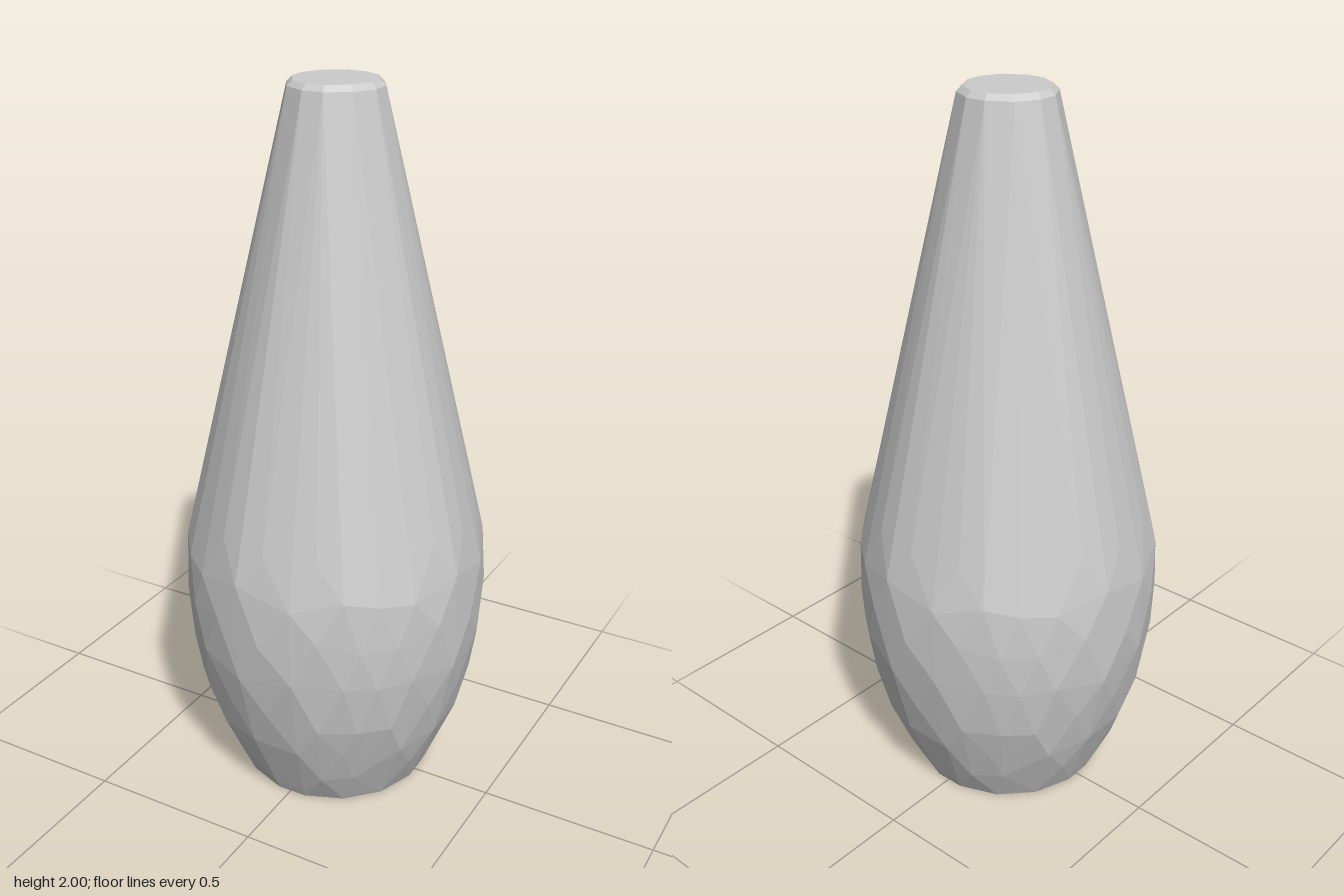
import * as THREE from 'three';
import { ConvexGeometry } from 'three/addons/geometries/ConvexGeometry.js';

// Angles (degrees) of the corners in one quarter turn; the quarter repeats four times.
const FINE = [10, 31, 45, 58, 77.6];
const STAGGERED = [0, 20, 38, 52, 68];
const BASE = [8, 32, 56, 80];
const NECK = [11, 42, 75];

// Rings from bottom to top: height, radius, corner angles, height jitter.
const RINGS = [
  [0, 0.272, BASE, 0],
  [0.02, 0.284, BASE, 0.01],
  [0.12, 0.324, STAGGERED, 0.02],
  [0.22, 0.363, FINE, 0.025],
  [0.33, 0.393, STAGGERED, 0.025],
  [0.46, 0.418, FINE, 0.02],
  [0.6, 0.425, STAGGERED, 0.03],
  [0.72, 0.42, FINE, 0.02],
  [0.83, 0.392, STAGGERED, 0.02],
  [1.985, 0.128, NECK, 0],
  [2, 0.113, NECK, 0],
];

function seededRandom(seed) {
  return () => {
    seed = (seed * 16807) % 2147483647;
    return seed / 2147483647 - 0.5;
  };
}

export function createModel() {
  const group = new THREE.Group();
  group.name = 'taperedVase';
  const random = seededRandom(41);
  const points = [];

  // Slightly uneven rings wrapped in a convex skin give the hewn facets.
  for (const [height, radius, angles, jitter] of RINGS) {
    for (const degrees of angles) {
      const y = height + random() * 2 * jitter;
      for (let quarter = 0; quarter < 4; quarter++) {
        const a = THREE.MathUtils.degToRad(degrees + quarter * 90);
        points.push(new THREE.Vector3(Math.sin(a) * radius, y, -Math.cos(a) * radius));
      }
    }
  }

  const body = new THREE.Mesh(
    new ConvexGeometry(points),
    new THREE.MeshStandardMaterial({ color: 0xcccccc, flatShading: true })
  );
  body.name = 'facetedBody';
  group.add(body);
  return group;
}
